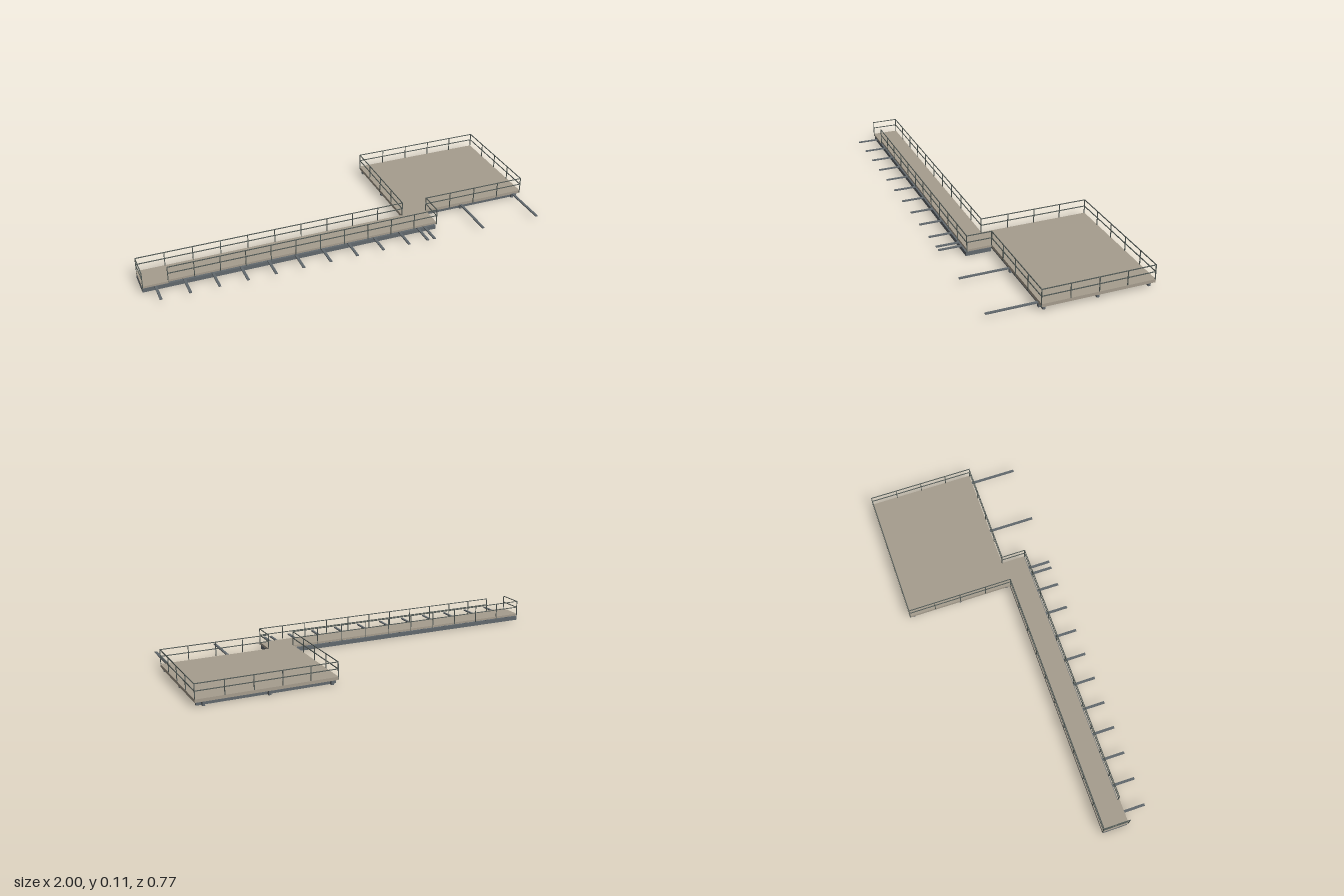
import * as THREE from 'three';

export function createModel() {
  const model = new THREE.Group();
  model.name = 'walkwayPlatform';

  const makeMaterial = (name, color) => {
    const m = new THREE.MeshStandardMaterial({ color });
    m.name = name;
    return m;
  };
  const deckMat = makeMaterial('deckBoards', 0xa69d8e);
  const beamMat = makeMaterial('steelBeam', 0x62696e);
  const railMat = makeMaterial('railSteel', 0x535b57);

  // Box given by its minimum and maximum corners
  const box = (name, mat, [x0, x1], [y0, y1], [z0, z1], parent = model) => {
    const mesh = new THREE.Mesh(new THREE.BoxGeometry(x1 - x0, y1 - y0, z1 - z0), mat);
    mesh.position.set((x0 + x1) / 2, (y0 + y1) / 2, (z0 + z1) / 2);
    mesh.name = name;
    parent.add(mesh);
  };

  // Decks
  box('platformDeck', deckMat, [0.33, 1], [0.02, 0.035], [-0.385, 0.15]);
  box('walkwayDeck', deckMat, [-1, 0.46], [0.025, 0.035], [0.15, 0.27]);
  box('gateDeck', deckMat, [-1, -0.88], [0.025, 0.035], [0.27, 0.28]);

  // Platform grid of beams, with bars reaching out in front
  const half = 0.006;
  for (const x of [0.36, 0.66, 0.96]) {
    box('platformCrossBeam', beamMat, [x - half, x + half], [0, 0.02], [-0.385, 0.15]);
    box('platformSupportBar', beamMat, [x - half, x + half], [0.0195, 0.0245], [0.14, 0.385]);
  }
  for (const z of [-0.362, -0.115, 0.134]) {
    box('platformLongBeam', beamMat, [0.335, 0.99], [0.0005, 0.0195], [z - half, z + half]);
  }

  // Walkway stringers, end beams and support bars
  for (const z of [0.158, 0.269]) {
    box('walkwayStringer', beamMat, [-1, 0.455], [0, 0.02], [z - half, z + half]);
  }
  for (const x of [-0.994, 0.449]) {
    box('walkwayEndBeam', beamMat, [x - half, x + half], [0.0005, 0.0195], [0.164, 0.263]);
  }
  for (let i = 0; i <= 10; i++) {
    const x = -0.94 + i * 0.1335;
    box('walkwaySupportBar', beamMat, [x - half, x + half], [0.02, 0.025], [0.152, 0.385]);
  }

  // Straight railing run with evenly spaced posts, a mid rail and a top rail
  const r = 0.0018;
  const railing = (name, [x0, z0], [x1, z1], spans) => {
    const group = new THREE.Group();
    group.name = name;
    model.add(group);
    const xs = [Math.min(x0, x1) - r, Math.max(x0, x1) + r];
    const zs = [Math.min(z0, z1) - r, Math.max(z0, z1) + r];
    for (const y of [0.072, 0.105]) box('rail', railMat, xs, [y - r, y + r], zs, group);
    for (let i = 0; i <= spans; i++) {
      const x = x0 + ((x1 - x0) * i) / spans;
      const z = z0 + ((z1 - z0) * i) / spans;
      box('post', railMat, [x - r, x + r], [0.022, 0.105], [z - r, z + r], group);
    }
  };
  const L = 0.331, R = 0.998, B = -0.383, M = 0.151, F = 0.272;
  railing('platformBackRailing', [L, B], [R, B], 5);
  railing('platformLeftRailing', [R, B], [R, M], 4);
  railing('platformRightRailing', [L, B], [L, M], 4);
  railing('platformFrontRailing', [0.46, M], [R, M], 4);
  railing('walkwayBackRailing', [-0.998, M], [L, M], 10);
  railing('walkwayFrontRailing', [-0.88, F], [0.46, F], 11);
  railing('walkwayLeftEndRailing', [0.46, M], [0.46, F], 1);
  railing('walkwayRightEndRailing', [-0.998, M], [-0.998, 0.28], 1);

  return model;
}
